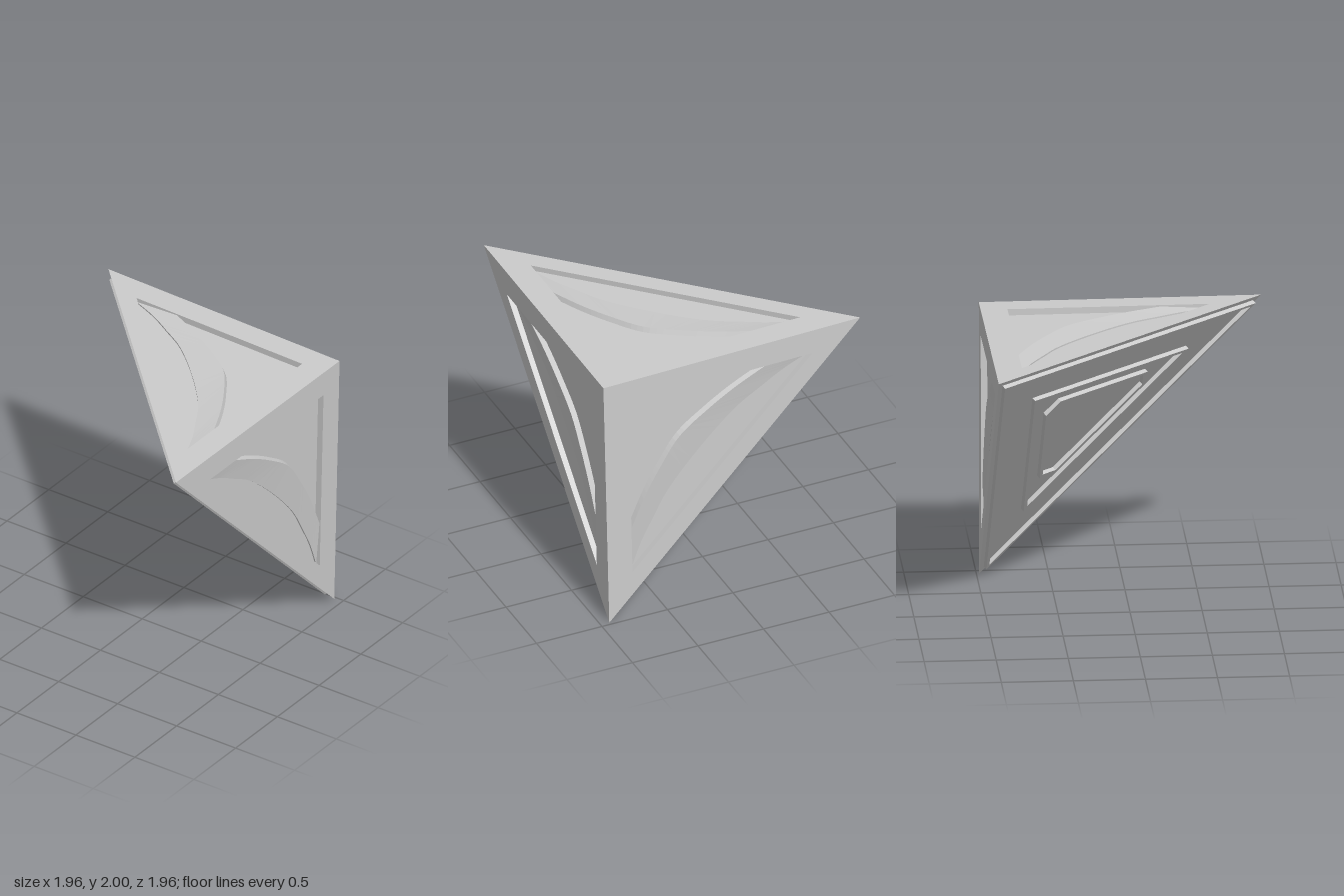
import * as THREE from 'three';

const V = (x, y, z) => new THREE.Vector3(x, y, z);
const P = (u, v) => new THREE.Vector2(u, v);
const material = new THREE.MeshStandardMaterial({ color: 0xcccccc });

// The four corners of the pyramid
const CORNER = V(0.98, 1.96, 0.98);
const LEFT = V(-0.98, 1.97, 0.98);
const BACK = V(0.98, 2, -0.98);
const FOOT = V(0.98, 0, 0.935);

// Matrix taking (u, v, height) on a triangular side to model space
function sideMatrix(origin, a, b) {
  const e1 = a.clone().sub(origin), e2 = b.clone().sub(origin);
  const n = e1.clone().cross(e2).normalize();
  return new THREE.Matrix4().makeBasis(e1, e2, n).setPosition(origin);
}

// Flat panel at height h, with an optional hole
function panel(loop, h, hole) {
  const shape = new THREE.Shape(loop);
  if (hole) shape.holes.push(new THREE.Path(hole));
  return new THREE.ShapeGeometry(shape).translate(0, 0, h);
}

// Strip joining two lines of points at two heights
function strip(p, hp, q, hq, closed) {
  const pos = [];
  const count = closed ? p.length : p.length - 1;
  for (let i = 0; i < count; i++) {
    const j = (i + 1) % p.length;
    const a = [p[i].x, p[i].y, hp], b = [q[i].x, q[i].y, hq];
    const c = [q[j].x, q[j].y, hq], d = [p[j].x, p[j].y, hp];
    pos.push(...a, ...b, ...c, ...a, ...c, ...d);
  }
  const g = new THREE.BufferGeometry();
  g.setAttribute('position', new THREE.Float32BufferAttribute(pos, 3));
  return g;
}

function addPart(group, name, geometry, matrix) {
  geometry.applyMatrix4(matrix);
  geometry.computeVertexNormals();
  const mesh = new THREE.Mesh(geometry, material);
  mesh.name = name;
  group.add(mesh);
}

// Symmetric arc from one half of its points, the last lying on the diagonal
function arc(half) {
  const pts = half.map(([u, v]) => P(u, v));
  const mirrored = pts.slice(0, -1).reverse().map(p => P(p.y, p.x));
  return new THREE.SplineCurve([...pts, ...mirrored]).getPoints(32);
}

const TRIANGLE = [P(0, 0), P(1, 0), P(0, 1)];

// Outer side: frame, sunken triangle and a raised curved band across it
function outerSide(name, origin, a, b) {
  const group = new THREE.Group();
  group.name = name;
  const m = sideMatrix(origin, a, b);
  const edge = 0.095, deep = -0.045, crestTop = -0.01, bandLow = -0.03, low = -0.04;
  const recess = [P(edge, edge), P(0.811, edge), P(edge, 0.811)];
  const outer = arc([[0.62, edge], [0.5, 0.15], [0.39, 0.214], [0.288, 0.288]]);
  const inner = arc([[0.811, edge], [0.71, 0.135], [0.62, 0.184], [0.51, 0.25], [0.373, 0.373]]);
  const crest = outer.map(p => P(edge + (p.x - edge) * 1.03, edge + (p.y - edge) * 1.03));

  addPart(group, 'frame', panel(TRIANGLE, 0, recess), m);
  addPart(group, 'recessWall', strip(recess, deep, recess, 0, true), m);
  addPart(group, 'cornerFloor', panel([recess[0], ...outer], deep), m);
  addPart(group, 'bandOuterWall', strip(outer, deep, crest, crestTop, false), m);
  addPart(group, 'curvedBand', strip(crest, crestTop, inner, bandLow, false), m);
  addPart(group, 'bandInnerWall', strip(inner, bandLow, inner, low, false), m);
  addPart(group, 'edgeFloor', panel(inner, low), m);
  return group;
}

// Inner side: flat face carrying three nested ridges
function ridgedSide() {
  const group = new THREE.Group();
  group.name = 'ridgedSide';
  const m = sideMatrix(LEFT, BACK, FOOT);
  const height = 0.03;
  const scaled = (loop, r) => loop.map(p => P(1 / 3 + (p.x - 1 / 3) * r, 1 / 3 + (p.y - 1 / 3) * r));
  // Triangle with its corners cut off
  const clipped = TRIANGLE.flatMap((p, i) => [
    p.clone().lerp(TRIANGLE[(i + 2) % 3], 0.12),
    p.clone().lerp(TRIANGLE[(i + 1) % 3], 0.12),
  ]);
  const ridges = [[TRIANGLE, 0.955, 0.925], [TRIANGLE, 0.585, 0.55], [clipped, 0.435, 0.405]];
  let border = TRIANGLE;
  for (const [loop, r0, r1] of ridges) {
    const outside = scaled(loop, r0), inside = scaled(loop, r1);
    addPart(group, 'facePanel', panel(border, 0, outside), m);
    addPart(group, 'ridgeOuterWall', strip(outside, height, outside, 0, true), m);
    addPart(group, 'ridgeTop', panel(outside, height, inside), m);
    addPart(group, 'ridgeInnerWall', strip(inside, 0, inside, height, true), m);
    border = inside;
  }
  addPart(group, 'centrePanel', panel(border, 0), m);
  return group;
}

export function createModel() {
  const model = new THREE.Group();
  model.name = 'panelledPyramid';
  model.add(
    outerSide('frontSide', CORNER, LEFT, FOOT),
    outerSide('leftSide', CORNER, FOOT, BACK),
    outerSide('topSide', CORNER, BACK, LEFT),
    ridgedSide(),
  );
  return model;
}
